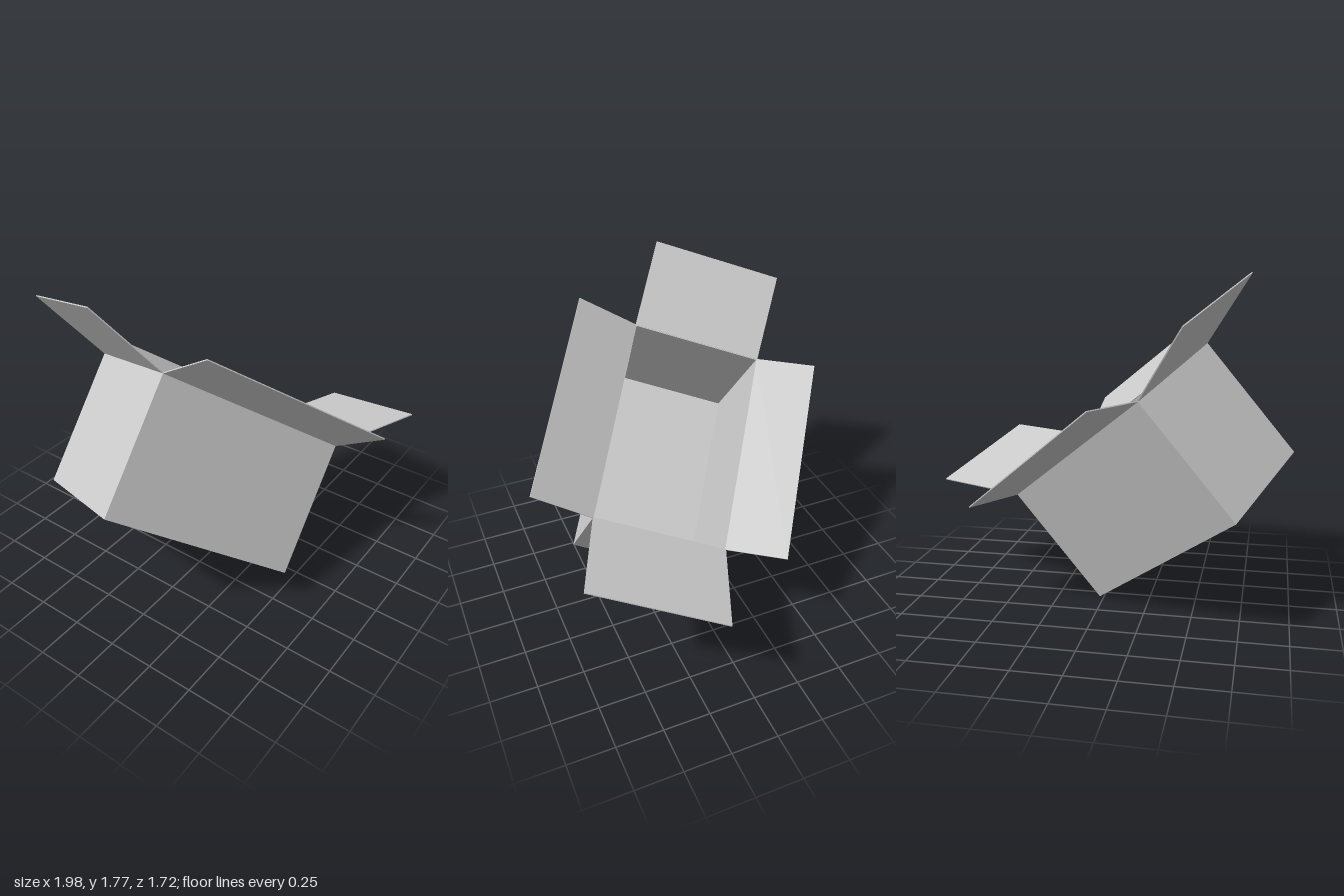
import * as THREE from 'three';

const LENGTH = 1.116, WIDTH = 0.713, DEPTH = 0.727, T = 0.006;

export function createModel() {
  const model = new THREE.Group();
  model.name = 'openCarton';
  const material = new THREE.MeshStandardMaterial({ color: 0xcccccc, flatShading: true });

  // Carton body in its own upright frame, origin at the centre of its base
  const carton = new THREE.Group();
  carton.name = 'carton';
  model.add(carton);

  const panel = (name, size, position, parent = carton) => {
    const mesh = new THREE.Mesh(new THREE.BoxGeometry(...size), material);
    mesh.name = name;
    mesh.position.set(...position);
    parent.add(mesh);
    return mesh;
  };

  panel('floor', [LENGTH, T, WIDTH], [0, T / 2, 0]);

  // Each side: wall turned about the vertical, with a flap hinged on its rim
  // [name, turn, half distance to wall, wall width, flap length, flap rise]
  const sides = [
    ['front', 0, WIDTH / 2, LENGTH, 0.355, 0.33],
    ['back', Math.PI, WIDTH / 2, LENGTH, 0.325, 0.345],
    ['left', Math.PI / 2, LENGTH / 2, WIDTH, 0.542, 0.646],
    ['right', -Math.PI / 2, LENGTH / 2, WIDTH, 0.482, 0.282],
  ];
  for (const [name, turn, distance, width, flapLength, rise] of sides) {
    const side = new THREE.Group();
    side.name = name + 'Side';
    side.rotation.y = turn;
    carton.add(side);
    panel(name + 'Wall', [width, DEPTH, T], [0, DEPTH / 2, distance - T / 2], side);

    const hinge = new THREE.Group();
    hinge.name = name + 'Hinge';
    hinge.position.set(0, DEPTH, distance - T / 2);
    hinge.rotation.x = -rise;
    side.add(hinge);
    panel(name + 'Flap', [width, T, flapLength], [0, 0, flapLength / 2], hinge);
  }

  // Tip the carton so that it balances on one bottom corner
  const up = new THREE.Vector3(0.635, 0.765, 0).normalize();
  const along = new THREE.Vector3(0.75, -0.63, 0.535);
  along.addScaledVector(up, -along.dot(up)).normalize();
  const across = new THREE.Vector3().crossVectors(along, up);
  carton.quaternion.setFromRotationMatrix(new THREE.Matrix4().makeBasis(along, up, across));
  carton.position.set(-0.485, 0.432, -0.018);

  // Settle the lowest corner exactly on the ground
  model.updateMatrixWorld(true);
  carton.position.y -= new THREE.Box3().setFromObject(model, true).min.y;
  return model;
}
